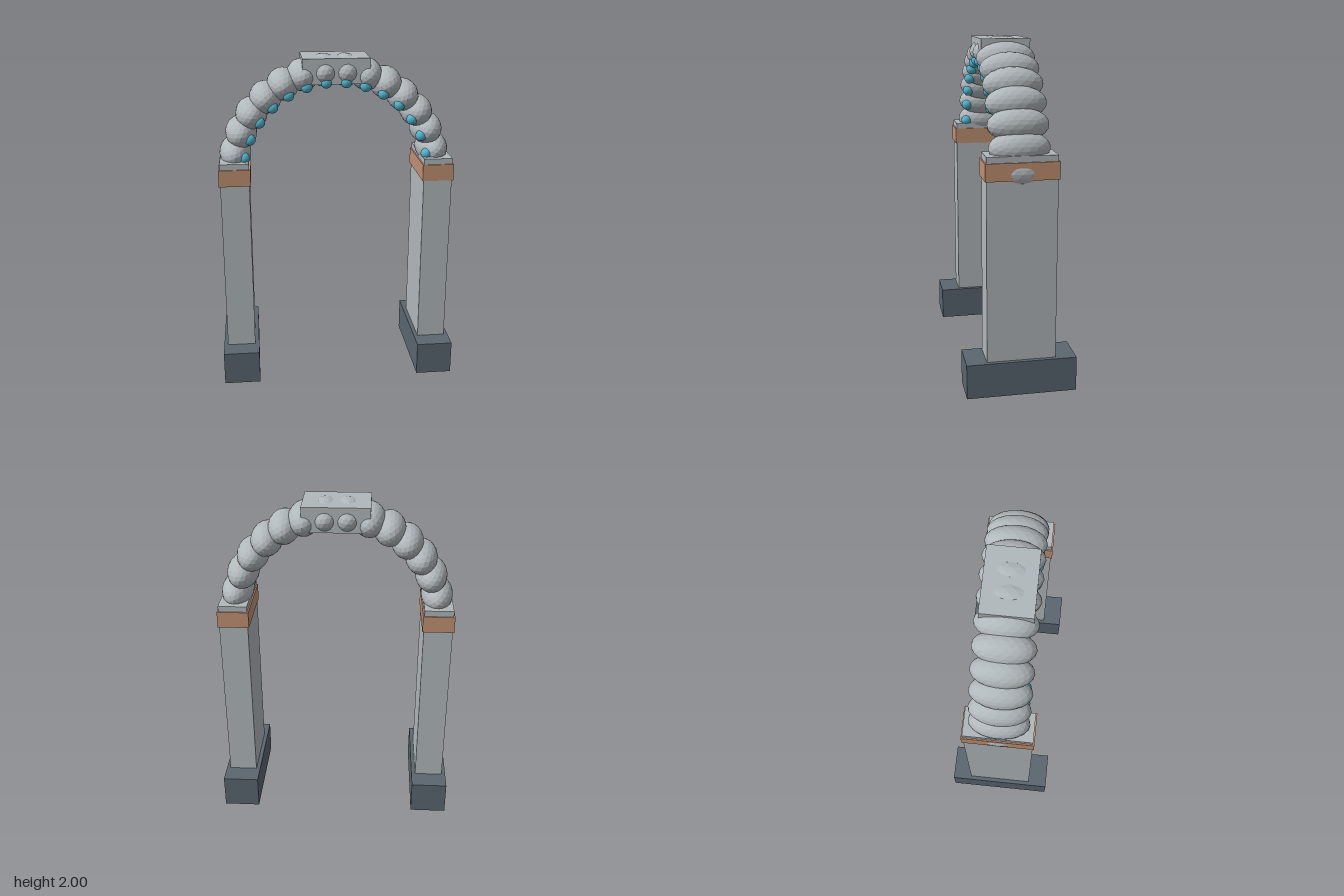
import * as THREE from 'three';

const flat = (name, color) => {
  const m = new THREE.MeshStandardMaterial({ color, flatShading: true });
  m.name = name;
  return m;
};

export function createModel() {
  const stone = flat('pale stone', 0xb1b8bc);
  const slate = flat('dark slate', 0x5a6670);
  const copper = flat('copper', 0xc09172);
  const cyan = flat('cyan gem', 0x4fb3cc);

  const model = new THREE.Group();
  model.name = 'archway';

  const add = (name, geometry, material, x, y, z, parent = model) => {
    const mesh = new THREE.Mesh(geometry, material);
    mesh.name = name;
    mesh.position.set(x, y, z);
    parent.add(mesh);
    return mesh;
  };
  // Box given by its bottom and top heights
  const block = (name, w, y0, y1, d, material, x, parent) =>
    add(name, new THREE.BoxGeometry(w, y1 - y0, d), material, x, (y0 + y1) / 2, 0, parent);

  // Two pillars with plinth and copper collar
  for (const [label, side] of [['left', 1], ['right', -1]]) {
    const pillar = new THREE.Group();
    pillar.name = `${label}Pillar`;
    model.add(pillar);
    const x = side * 0.609;
    block('plinth', 0.22, 0, 0.205, 0.64, slate, x, pillar);
    block('shaft', 0.172, 0.205, 1.39, 0.4, stone, x, pillar);
    block('collar', 0.188, 1.255, 1.355, 0.416, copper, x, pillar);
  }

  // Arch of overlapping ellipsoid segments, with a gem on the inner front of each
  const arch = new THREE.Group();
  arch.name = 'arch';
  model.add(arch);
  const count = 16, radius = 0.615, springY = 1.29;
  const segment = new THREE.IcosahedronGeometry(1, 3).scale(0.096, 0.096, 0.175);
  const gem = new THREE.IcosahedronGeometry(0.034, 2);
  for (let i = 0; i < count; i++) {
    const a = (i / (count - 1)) * Math.PI;
    const c = Math.cos(a), s = Math.sin(a);
    add('archSegment', segment, stone, c * radius, springY + s * radius, 0, arch).rotation.z = a;
    if (i > 0 && i < count - 1) add('gem', gem, cyan, c * 0.56, springY + s * 0.56, 0.13, arch);
  }

  // Keystone block over the crown
  block('keystone', 0.395, 1.838, 1.987, 0.29, stone, 0);

  return model;
}
